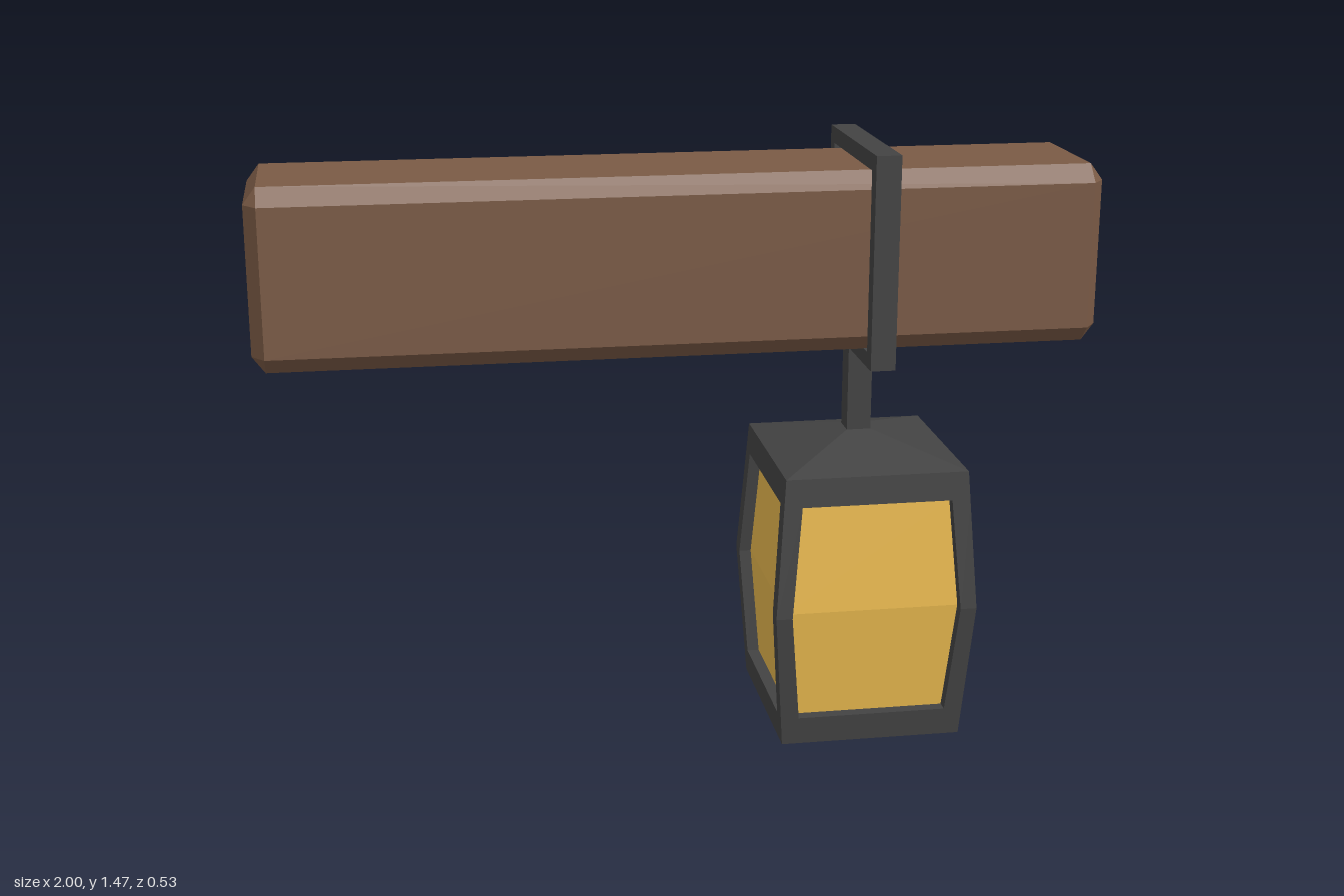
import * as THREE from 'three';
import { ConvexGeometry } from 'three/addons/geometries/ConvexGeometry.js';

const paint = (color) => new THREE.MeshStandardMaterial({ color, flatShading: true, roughness: 0.9 });

// Stacks rectangular sections [y, x0, x1, z0, z1] into a closed solid
function loft(sections) {
  const rings = sections.map(([y, x0, x1, z0, z1]) =>
    [[x0, y, z1], [x1, y, z1], [x1, y, z0], [x0, y, z0]]);
  const pos = [];
  const quad = (a, b, c, d) => pos.push(...a, ...b, ...c, ...a, ...c, ...d);
  for (let i = 0; i < rings.length - 1; i++) {
    const lo = rings[i], hi = rings[i + 1];
    for (let k = 0; k < 4; k++) {
      const n = (k + 1) % 4;
      quad(lo[k], lo[n], hi[n], hi[k]);
    }
  }
  const top = rings[rings.length - 1], bottom = rings[0];
  quad(...top);
  quad(bottom[3], bottom[2], bottom[1], bottom[0]);
  const geometry = new THREE.BufferGeometry();
  geometry.setAttribute('position', new THREE.Float32BufferAttribute(pos, 3));
  geometry.computeVertexNormals();
  return geometry;
}

// Same, from half sizes [y, hx, hz] around the vertical axis
const centredLoft = (levels) => loft(levels.map(([y, hx, hz]) => [y, -hx, hx, -hz, hz]));

// Box with flat bevels on every edge
function bevelledBox(hx, hy, hz, bx, b) {
  const points = [];
  for (const x of [-1, 1]) for (const y of [-1, 1]) for (const z of [-1, 1]) {
    points.push(
      new THREE.Vector3(x * hx, y * (hy - b), z * (hz - b)),
      new THREE.Vector3(x * (hx - bx), y * hy, z * (hz - b)),
      new THREE.Vector3(x * (hx - bx), y * (hy - b), z * hz));
  }
  return new ConvexGeometry(points);
}

export function createModel() {
  const model = new THREE.Group();
  model.name = 'hangingLantern';
  const wood = paint(0x7a5a45), iron = paint(0x434343), glass = paint(0xe9b94f);
  const add = (parent, name, geometry, material) => {
    const mesh = new THREE.Mesh(geometry, material);
    mesh.name = name;
    parent.add(mesh);
    return mesh;
  };

  // Wooden beam
  add(model, 'beam', bevelledBox(1, 0.215, 0.19, 0.03, 0.04), wood).position.set(0, 1.205, 0.02);

  // Iron hook wrapped around the beam, ending in the lantern stem
  const hook = new THREE.Group();
  hook.name = 'hook';
  hook.position.x = 0.46;
  model.add(hook);
  const bars = [ // name, y0, y1, z0, z1
    ['hookFront', 0.955, 1.465, 0.21, 0.25],
    ['hookTop', 1.425, 1.465, -0.17, 0.21],
    ['hookBack', 0.99, 1.465, -0.21, -0.17],
    ['hookBottom', 0.955, 0.992, 0.03, 0.21],
    ['stem', 0.74, 0.992, -0.03, 0.03],
  ];
  for (const [name, y0, y1, z0, z1] of bars) {
    add(hook, name, loft([[y0, -0.03, 0.03, z0, z1], [y1, -0.03, 0.03, z0, z1]]), iron);
  }

  // Lantern body
  const lantern = new THREE.Group();
  lantern.name = 'lantern';
  lantern.position.x = 0.46;
  model.add(lantern);
  add(lantern, 'base', centredLoft([[0, 0.225, 0.235], [0.07, 0.23, 0.241]]), iron);
  add(lantern, 'roof', centredLoft([[0.62, 0.23, 0.241], [0.69, 0.225, 0.235], [0.745, 0.03, 0.03]]), iron);
  add(lantern, 'glassPanes', centredLoft([[0.07, 0.2, 0.211], [0.345, 0.22, 0.235], [0.62, 0.2, 0.211]]), glass);

  // Bowed corner posts: [y, inner x, outer x, inner z, outer z]
  const post = [
    [0.07, 0.185, 0.23, 0.195, 0.241],
    [0.345, 0.21, 0.25, 0.22, 0.265],
    [0.62, 0.185, 0.23, 0.195, 0.241],
  ];
  for (const sx of [-1, 1]) for (const sz of [-1, 1]) {
    const span = (s, a, b) => (s > 0 ? [a, b] : [-b, -a]);
    add(lantern, 'cornerPost', loft(post.map(([y, x0, x1, z0, z1]) =>
      [y, ...span(sx, x0, x1), ...span(sz, z0, z1)])), iron);
  }
  return model;
}
